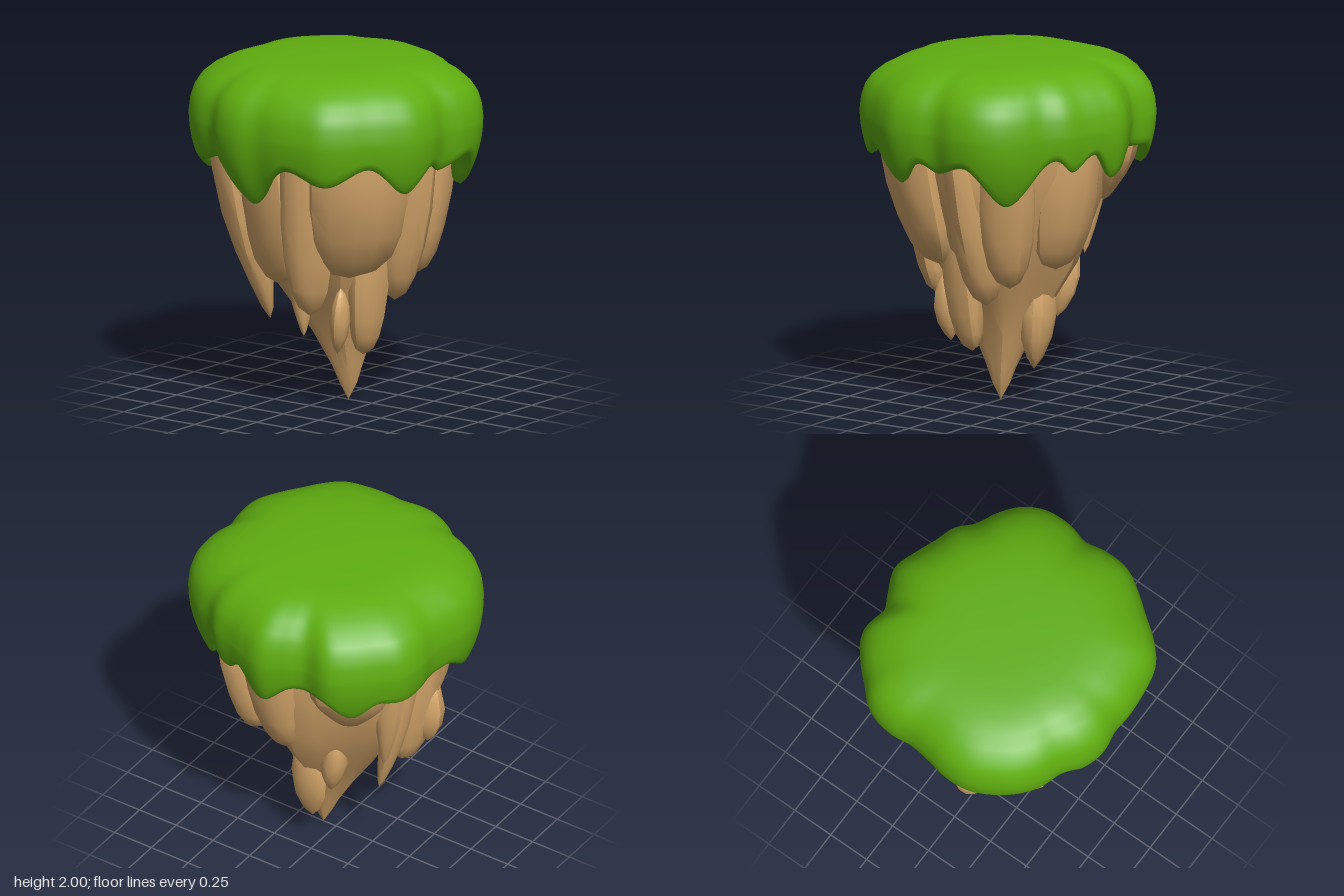
import * as THREE from 'three';
import { toCreasedNormals } from 'three/addons/utils/BufferGeometryUtils.js';

const grass = new THREE.MeshStandardMaterial({ color: 0x60ae10 });
grass.name = 'grass green';
const rock = new THREE.MeshStandardMaterial({ color: 0xd6a76b });
rock.name = 'sandy rock';

// Skin a list of closed rings, ordered top to bottom
function loft(rings) {
  const n = rings[0].length, pos = [], idx = [];
  rings.forEach(r => r.forEach(p => pos.push(...p)));
  for (let i = 0; i < rings.length - 1; i++) {
    for (let j = 0; j < n; j++) {
      const k = (j + 1) % n, a = i * n + j, b = i * n + k;
      idx.push(a, b, a + n, b, b + n, a + n);
    }
  }
  const g = new THREE.BufferGeometry();
  g.setAttribute('position', new THREE.Float32BufferAttribute(pos, 3));
  g.setIndex(idx);
  g.computeVertexNormals();
  return g;
}

function addMesh(group, name, geometry, material) {
  const m = new THREE.Mesh(geometry, material);
  m.name = name;
  group.add(m);
}

// Smooth interpolation through [key, value] pairs
function ease(table, v) {
  let i = 0;
  while (i < table.length - 2 && v > table[i + 1][0]) i++;
  const [k0, v0] = table[i], [k1, v1] = table[i + 1];
  const t = Math.min(1, Math.max(0, (v - k0) / (k1 - k0)));
  return v0 + (v1 - v0) * t * t * (3 - 2 * t);
}

// Outline radius every 10 degrees, from +x towards +z
const OUTLINE = [
  0.79, 0.765, 0.75, 0.765, 0.75, 0.795, 0.835, 0.84, 0.81,
  0.765, 0.8, 0.825, 0.815, 0.81, 0.83, 0.845, 0.815, 0.79,
  0.77, 0.80, 0.80, 0.775, 0.81, 0.83, 0.835, 0.835, 0.81,
  0.775, 0.77, 0.82, 0.85, 0.83, 0.83, 0.82, 0.73, 0.75];
function outline(deg) {
  const s = deg / 10, i = Math.floor(s), t = s - i;
  const at = k => OUTLINE[(k + 36) % 36];
  const [a, b, c, d] = [at(i - 1), at(i), at(i + 1), at(i + 2)];
  return b + 0.5 * t * (c - a + t * (2 * a - 5 * b + 4 * c - d + t * (3 * (b - c) + d - a)));
}

// Height of the dripping hem by angle
const HEM = [
  [-14, 1.49], [2, 1.36], [14, 1.52], [25, 1.43], [34, 1.51], [57, 1.25], [75, 1.48], [90, 1.42],
  [98, 1.47], [111, 1.33], [130, 1.5], [148, 1.4], [165, 1.48], [187, 1.24], [206, 1.48],
  [223, 1.42], [230, 1.42], [247, 1.3], [270, 1.46], [283, 1.46], [297, 1.43], [307, 1.45],
  [319, 1.34], [333, 1.48], [346, 1.49], [362, 1.36]];

function grassCap() {
  const N = 180;
  const crown = [[0, 2], [0.3, 1.998], [0.52, 1.99], [0.66, 1.972], [0.76, 1.946], [0.85, 1.905],
    [0.92, 1.855], [0.965, 1.8], [0.99, 1.735], [1, 1.66]];
  const ring = fn => Array.from({ length: N }, (_, j) => {
    const deg = j * 360 / N, a = deg * Math.PI / 180;
    const [f, y] = fn(ease(HEM, deg));
    const mix = THREE.MathUtils.smoothstep(f, 0.4, 0.95);
    const r = f * (0.79 + (outline(deg) - 0.79) * mix);
    return [r * Math.cos(a), y, r * Math.sin(a)];
  });
  const rings = crown.map(p => ring(() => p));
  const wall = (hem, w) => 1 - 0.75 * ((1.66 - hem) * w) ** 2;
  for (let i = 1; i <= 6; i++) {
    const w = i / 6;
    rings.push(ring(h => [wall(h, w), 1.66 - (1.64 - h) * w]));
  }
  // Rounded lip and underside
  rings.push(ring(h => [wall(h, 1) - 0.025, h]));
  rings.push(ring(h => [wall(h, 1) - 0.06, h + 0.015]));
  rings.push(ring(h => [wall(h, 1) - 0.1, h + 0.07]));
  rings.push(ring(() => [0.7, 1.57]));
  rings.push(ring(() => [0, 1.57]));
  return loft(rings);
}

function rockCore() {
  // height, radius, z shift
  const levels = [[1.6, 0.6, 0], [1.4, 0.59, 0], [1.2, 0.545, 0], [1.0, 0.48, 0], [0.8, 0.39, 0],
    [0.6, 0.275, 0.01], [0.4, 0.17, 0.04], [0.2, 0.085, 0.07], [0.1, 0.05, 0.08], [0, 0, 0.085]];
  return toCreasedNormals(loft(levels.map(([y, r, dz], i) => Array.from({ length: 18 }, (_, j) => {
    const a = j / 18 * Math.PI * 2;
    const q = r * (1 + 0.06 * Math.sin(a * 5 + i * 0.4) + 0.03 * Math.sin(a * 3 - i));
    return [q * Math.cos(a), y, dz + q * Math.sin(a)];
  }))), 0.6);
}

// Width profiles of the hanging crags, top to bottom
const SHAPES = {
  slab: [[0, 0.9], [0.2, 1], [0.45, 1], [0.68, 0.9], [0.85, 0.72], [0.95, 0.45], [1, 0]],
  spike: [[0, 0.95], [0.2, 1], [0.45, 0.92], [0.65, 0.72], [0.82, 0.45], [0.94, 0.22], [1, 0]],
  egg: [[0, 0], [0.08, 0.4], [0.25, 0.8], [0.5, 1], [0.72, 0.85], [0.9, 0.45], [1, 0]],
};
// One crag: top centre, bottom centre, half width, half depth
function crag([x0, y0, z0], [x1, y1, z1], width, depth, shape, seed) {
  const N = 12, out = Math.atan2(z0 + z1, x0 + x1), c = Math.cos(out), s = Math.sin(out);
  return toCreasedNormals(loft(SHAPES[shape].map(([t, k], i) => {
    const b = t * t * 0.4 + t * 0.6;
    const cx = x0 + (x1 - x0) * b, cz = z0 + (z1 - z0) * b, y = y0 + (y1 - y0) * t;
    return Array.from({ length: N }, (_, j) => {
      const a = j / N * Math.PI * 2;
      const q = k * (1 + 0.07 * Math.sin(a * 3 + seed * 1.7) + 0.04 * Math.sin(a * 2 + i + seed));
      const u = Math.cos(a) * q * depth, v = Math.sin(a) * q * width;
      return [cx + u * c - v * s, y, cz + u * s + v * c];
    });
  })), 0.7);
}

const CRAGS = [
  // front
  [[-0.39, 1.6, 0.42], [-0.28, 0.79, 0.3], 0.3, 0.17, 'slab'],
  [[0.03, 1.6, 0.51], [0.08, 0.6, 0.35], 0.15, 0.14, 'slab'],
  [[0.3, 1.6, 0.46], [0.25, 0.72, 0.36], 0.16, 0.15, 'slab'],
  [[-0.13, 1.0, 0.32], [-0.08, 0.3, 0.25], 0.12, 0.1, 'slab'],
  [[-0.28, 0.72, 0.24], [-0.26, 0.33, 0.2], 0.06, 0.07, 'egg'],
  // +x side
  [[0.52, 1.6, 0.1], [0.38, 0.8, 0.09], 0.21, 0.13, 'slab'],
  [[0.45, 1.6, -0.41], [0.39, 1.12, -0.37], 0.25, 0.15, 'spike'],
  [[0.23, 0.84, 0.03], [0.19, 0.19, 0.03], 0.11, 0.1, 'egg'],
  [[0.29, 0.93, -0.19], [0.24, 0.47, -0.13], 0.075, 0.08, 'egg'],
  // back
  [[0.24, 1.6, -0.54], [0.2, 0.77, -0.46], 0.085, 0.1, 'spike'],
  [[0.1, 1.45, -0.53], [0.1, 0.5, -0.36], 0.09, 0.1, 'spike'],
  [[-0.14, 1.25, -0.53], [-0.14, 0.75, -0.53], 0.1, 0.1, 'egg'],
  [[-0.12, 1.6, -0.5], [-0.1, 0.6, -0.4], 0.16, 0.13, 'slab'],
  [[-0.41, 1.6, -0.42], [-0.26, 0.47, -0.27], 0.22, 0.15, 'spike'],
  // -x side
  [[-0.52, 1.6, -0.12], [-0.4, 0.72, -0.1], 0.19, 0.13, 'slab'],
  [[-0.53, 1.6, 0.16], [-0.41, 0.57, 0.12], 0.15, 0.12, 'slab'],
  [[-0.38, 0.95, 0.02], [-0.36, 0.43, 0.04], 0.08, 0.07, 'spike'],
];

export function createModel() {
  const model = new THREE.Group();
  model.name = 'floatingIsland';
  addMesh(model, 'grassCap', grassCap(), grass);
  const rocks = new THREE.Group();
  rocks.name = 'rocks';
  addMesh(rocks, 'rockCore', rockCore(), rock);
  CRAGS.forEach((c, i) => addMesh(rocks, `crag${i + 1}`, crag(...c, i), rock));
  model.add(rocks);
  return model;
}
